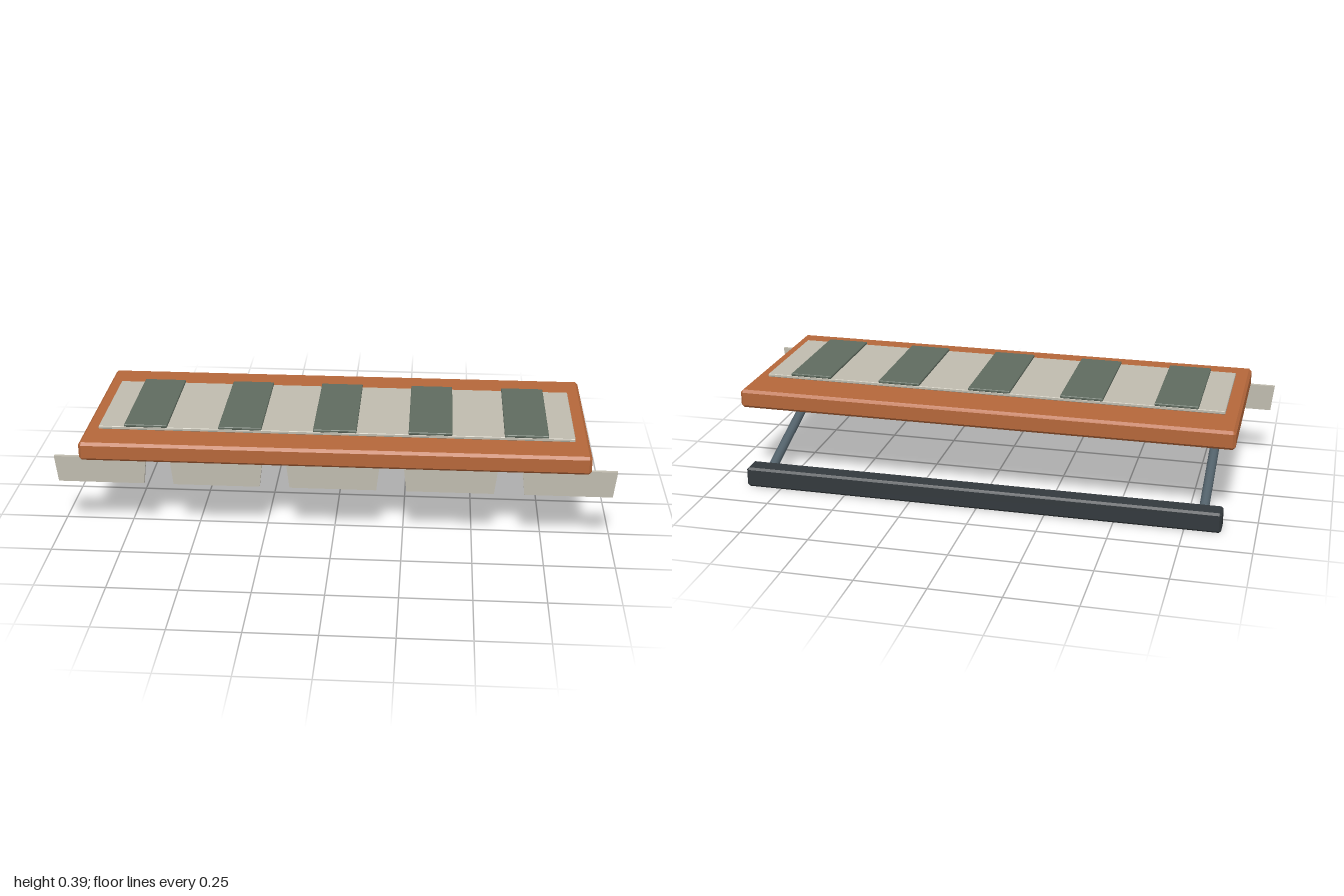
import * as THREE from 'three';
import { ConvexGeometry } from 'three/addons/geometries/ConvexGeometry.js';

const material = (color) => new THREE.MeshStandardMaterial({ color });

// Box given by its extents, with all edges chamfered by c
function chamferedBox(w, h, d, c) {
  const points = [];
  for (const sx of [-1, 1]) for (const sy of [-1, 1]) for (const sz of [-1, 1]) {
    const x = w / 2, y = h / 2, z = d / 2;
    points.push(
      new THREE.Vector3(sx * x, sy * (y - c), sz * (z - c)),
      new THREE.Vector3(sx * (x - c), sy * y, sz * (z - c)),
      new THREE.Vector3(sx * (x - c), sy * (y - c), sz * z));
  }
  return new ConvexGeometry(points);
}

export function createModel() {
  const model = new THREE.Group();
  model.name = 'awning';
  const wood = material(0xb5673a);
  const cream = material(0xbfbbae);
  const green = material(0x5f6b5f);
  const dark = material(0x33393d);
  const steel = material(0x52616a);

  const add = (name, geometry, mat, x, y, z) => {
    const mesh = new THREE.Mesh(geometry, mat);
    mesh.name = name;
    mesh.position.set(x, y, z);
    model.add(mesh);
    return mesh;
  };

  // Canopy slab and the wall rail behind it
  add('canopy', chamferedBox(1.816, 0.069, 0.692, 0.01), wood, 0, 0.3275, 0.026);
  add('wallRail', chamferedBox(1.76, 0.075, 0.076, 0.008), dark, 0, 0.0375, -0.334);

  // Cloth panel with raised stripes
  add('clothPanel', chamferedBox(1.712, 0.012, 0.422, 0.002), cream, 0, 0.372, 0.0435);
  for (let i = -2; i <= 2; i++) {
    add('stripe', chamferedBox(0.156, 0.01, 0.428, 0.002), green, i * 0.342, 0.383, 0.0435);
  }

  // Valance flaps, slightly narrower at the bottom
  const outline = new THREE.Shape([
    new THREE.Vector2(-0.155, 0), new THREE.Vector2(0.155, 0),
    new THREE.Vector2(0.166, 0.098), new THREE.Vector2(-0.166, 0.098)]);
  const flap = new THREE.ExtrudeGeometry(outline, { depth: 0.013, bevelEnabled: false });
  for (let i = -2; i <= 2; i++) {
    add('valanceFlap', flap, cream, i * 0.417, 0.205, 0.347);
  }

  // Round support arms from the rail up to the front edge
  for (const side of [-1, 1]) {
    const low = new THREE.Vector3(side * 0.81, 0.037, -0.33);
    const high = new THREE.Vector3(side * 0.81, 0.262, 0.328);
    const direction = high.clone().sub(low);
    const middle = low.clone().add(high).multiplyScalar(0.5);
    const arm = add(side > 0 ? 'leftArm' : 'rightArm',
      new THREE.CylinderGeometry(0.0175, 0.0175, direction.length(), 12),
      steel, middle.x, middle.y, middle.z);
    arm.quaternion.setFromUnitVectors(new THREE.Vector3(0, 1, 0), direction.normalize());
  }
  return model;
}
